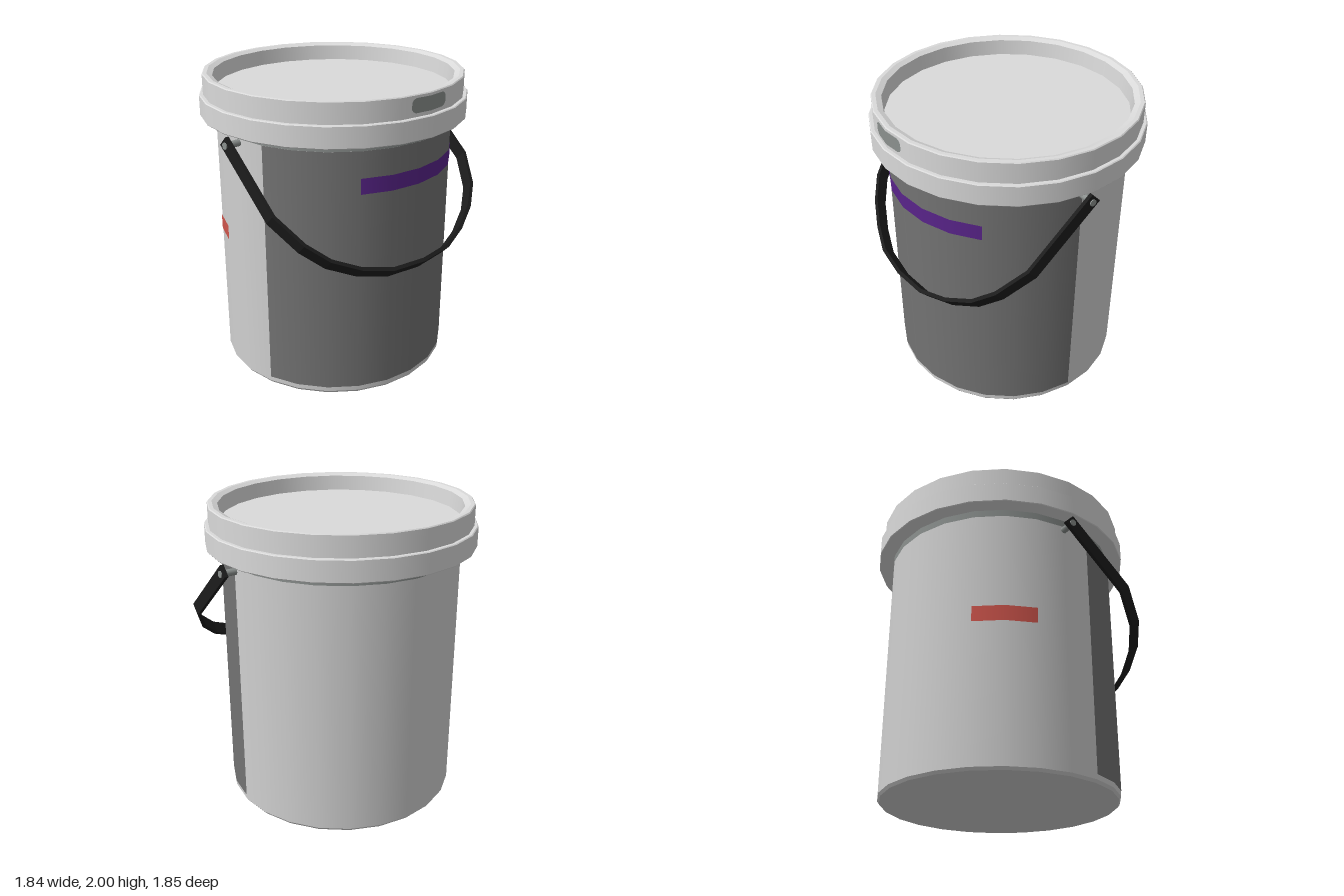
import * as THREE from 'three';

const SIDES = 24;
const rad = THREE.MathUtils.degToRad;
const mat = (name, color, side = THREE.FrontSide) => {
  const m = new THREE.MeshStandardMaterial({ color, side });
  m.name = name;
  return m;
};

export function createModel() {
  const white = mat('lid white', 0xdadada);
  const pale = mat('bucket pale grey', 0xd0d0d0);
  const grey = mat('label grey', 0x737373);
  const purple = mat('stripe purple', 0x59248a);
  const red = mat('sticker red', 0xcf554c);
  const black = mat('handle black', 0x1c1c1c);
  const midGrey = mat('fitting grey', 0x8b908e);

  const model = new THREE.Group();
  model.name = 'bucket';
  const bucket = new THREE.Group();
  bucket.name = 'bucketWithLid';
  bucket.position.set(-0.047, 0, -0.047);
  bucket.rotation.y = rad(2.7);
  model.add(bucket);

  const add = (name, geometry, material, parent = bucket) => {
    const mesh = new THREE.Mesh(geometry, material);
    mesh.name = name;
    parent.add(mesh);
    return mesh;
  };

  // Turned surface between neighbouring [radius, y] points, sharp at each point
  const turned = (name, profile, material, from = 0, to = 360) => {
    const group = new THREE.Group();
    group.name = name;
    bucket.add(group);
    for (let i = 0; i < profile.length - 1; i++) {
      const pts = [profile[i], profile[i + 1]].map(([r, y]) => new THREE.Vector2(r, y));
      const segs = Math.round((to - from) / 360 * SIDES);
      add(name + 'Face' + (i + 1), new THREE.LatheGeometry(pts, segs, rad(from), rad(to - from)), material, group);
    }
  };

  // Pail body
  turned('body', [[0, 0], [0.762, 0], [0.775, 0.018], [0.775, 1.73]], pale);
  turned('collar', [[0.777, 1.68], [0.777, 1.73]], midGrey);

  // Wrapped label and stickers
  turned('label', [[0.778, 0.05], [0.778, 1.68]], grey, -30, 135);
  turned('stripe', [[0.782, 1.411], [0.782, 1.512]], purple, 15, 90);
  turned('sticker', [[0.779, 0.925], [0.779, 1.028]], red, 270, 300);

  // Lid: skirt, upper wall, stepped rim and sunken panel
  turned('lid', [
    [0.775, 1.727], [0.872, 1.727], [0.876, 1.732], [0.876, 1.86], [0.87, 1.865],
    [0.85, 1.865], [0.85, 1.994], [0.844, 2], [0.82, 2], [0.785, 1.985],
    [0.775, 1.885], [0, 1.885],
  ], white);

  // Rounded tear tab folded over one corner of the lid wall
  const columns = [[-9.8, 0.02], [-9, 0.036], [-7.8, 0.045], [0, 0.045], [7.8, 0.045], [9, 0.036], [9.8, 0.02]];
  const tabPos = [];
  const tabIndex = [];
  columns.forEach(([a, h], i) => {
    const r = 0.853 * Math.cos(rad(7.5)) / Math.cos(rad(Math.abs(a) - 7.5));
    const t = rad(45 + a);
    for (const y of [1.934 - h, 1.934 + h]) tabPos.push(r * Math.sin(t), y, r * Math.cos(t));
    if (i > 0) {
      const k = 2 * i;
      tabIndex.push(k - 2, k, k + 1, k - 2, k + 1, k - 1);
    }
  });
  const tab = new THREE.BufferGeometry();
  tab.setAttribute('position', new THREE.Float32BufferAttribute(tabPos, 3));
  tab.setIndex(tabIndex);
  tab.computeVertexNormals();
  add('tearTab', tab, midGrey);

  // Carrying handle, resting on the labelled side
  const handle = new THREE.Group();
  handle.name = 'handle';
  handle.rotation.y = rad(45);
  bucket.add(handle);
  const half = [
    [0.86, 1.68, -0.025], [0.86, 1.30, 0.41], [0.76, 1.14, 0.57], [0.635, 1.03, 0.66],
    [0.453, 0.945, 0.74], [0.25, 0.9, 0.805],
  ].map((p) => new THREE.Vector3(...p));
  const path = [
    ...half, new THREE.Vector3(0, 0.888, 0.825),
    ...half.map((p) => new THREE.Vector3(-p.x, p.y, p.z)).reverse(),
  ];
  add('handleStrap', strap(path, new THREE.Vector3(0, 0.72, 0.69).normalize(), 0.084, 0.025), black, handle);

  // Pivot pins
  for (const side of [-1, 1]) {
    const pin = add('handlePin', new THREE.CylinderGeometry(0.022, 0.022, 0.13, 12), midGrey, handle);
    pin.rotation.z = Math.PI / 2;
    pin.position.set(side * 0.815, 1.655, 0);
  }
  return model;
}

// Flat band swept along a path; its width lies along the given normal
function strap(path, normal, width, thickness) {
  const pos = [];
  const index = [];
  path.forEach((p, i) => {
    const before = path[Math.max(i - 1, 0)];
    const after = path[Math.min(i + 1, path.length - 1)];
    const tangent = after.clone().sub(before).normalize();
    const across = tangent.cross(normal).normalize();
    for (const [n, s] of [[1, 1], [-1, 1], [-1, -1], [1, -1]]) {
      const c = p.clone().addScaledVector(normal, n * width / 2).addScaledVector(across, s * thickness / 2);
      pos.push(c.x, c.y, c.z);
    }
    if (i === 0) return;
    const a = 4 * (i - 1);
    const b = 4 * i;
    for (let k = 0; k < 4; k++) {
      const m = (k + 1) % 4;
      index.push(a + k, a + m, b + m, a + k, b + m, b + k);
    }
  });
  const e = 4 * (path.length - 1);
  index.push(0, 2, 1, 0, 3, 2, e, e + 1, e + 2, e, e + 2, e + 3);
  const g = new THREE.BufferGeometry();
  g.setAttribute('position', new THREE.Float32BufferAttribute(pos, 3));
  g.setIndex(index);
  const flat = g.toNonIndexed();
  flat.computeVertexNormals();
  return flat;
}
